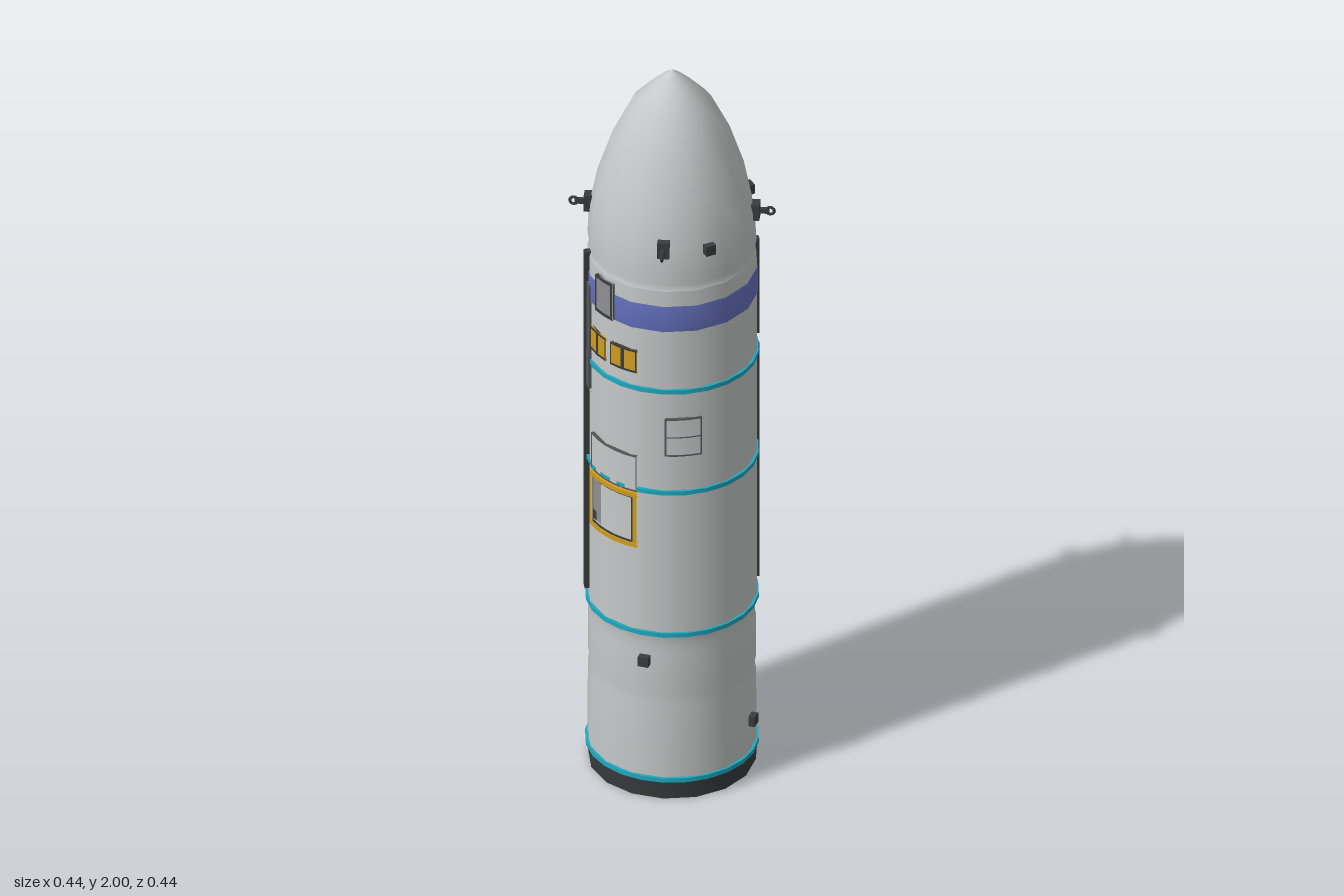
import * as THREE from 'three';
import { toCreasedNormals } from 'three/addons/utils/BufferGeometryUtils.js';

const mat = (name, color) => {
  const m = new THREE.MeshStandardMaterial({ color, side: THREE.DoubleSide });
  m.name = name;
  return m;
};
const SIDES = 16;
const rad = THREE.MathUtils.degToRad;

export function createModel() {
  const hull = mat('hull light grey', 0xc6c9c9);
  const grey = mat('mid grey', 0x8d9092);
  const dark = mat('dark panel grey', 0x55585b);
  const black = mat('charcoal', 0x393b3d);
  const blue = mat('band blue', 0x6470bd);
  const teal = mat('ring teal', 0x1fa9bf);
  const yellow = mat('frame yellow', 0xcf9c1e);

  const root = new THREE.Group();
  root.name = 'rocketStage';

  const add = (name, geo, material, parent = root) => {
    const m = new THREE.Mesh(geo, material);
    m.name = name;
    parent.add(m);
    return m;
  };
  const lathe = (pts, n = SIDES) => new THREE.LatheGeometry(pts.map(p => new THREE.Vector2(...p)), n);

  // curved plate wrapped on the hull; angles in degrees, 0 = front, 90 = +x
  const plate = (name, a0, a1, y0, y1, r, material, thick = 0.008, parent = root) => {
    const pts = [[r - thick, y0], [r, y0], [r, y1], [r - thick, y1], [r - thick, y0]].map(p => new THREE.Vector2(...p));
    const n = Math.max(1, Math.ceil((a1 - a0) / 10));
    const geo = new THREE.LatheGeometry(pts, n, rad(a0), rad(a1 - a0));
    return add(name, toCreasedNormals(geo, 0.6), material, parent);
  };
  // four plates forming a rectangular border of width t
  const frame = (name, a0, a1, y0, y1, t, r, material, thick = 0.008) => {
    const g = new THREE.Group();
    g.name = name;
    const da = THREE.MathUtils.radToDeg(t / r);
    plate(name + 'Bottom', a0, a1, y0, y0 + t, r, material, thick, g);
    plate(name + 'Top', a0, a1, y1 - t, y1, r, material, thick, g);
    plate(name + 'Side', a0, a0 + da, y0 + t, y1 - t, r, material, thick, g);
    plate(name + 'Side', a1 - da, a1, y0 + t, y1 - t, r, material, thick, g);
    root.add(g);
  };
  // box standing on the hull at an angle
  const block = (name, a, y, w, h, d, r, material) => {
    const m = add(name, new THREE.BoxGeometry(w, h, d), material);
    m.position.set(r * Math.sin(rad(a)), y, r * Math.cos(rad(a)));
    m.rotation.y = rad(a);
    return m;
  };

  // Hull sections and nose
  add('lowerHull', lathe([[0.211, 0.05], [0.211, 0.16], [0.209, 0.27], [0.206, 0.285],
    [0.209, 0.3], [0.21, 0.42], [0.206, 0.445], [0.212, 0.475]]), hull);
  add('midHull', lathe([[0.212, 0.475], [0.212, 0.89], [0.212, 1.19], [0.212, 1.36], [0.212, 1.44], [0.211, 1.48]]), hull);
  add('noseCone', lathe([[0.211, 1.48], [0.206, 1.495], [0.211, 1.515], [0.206, 1.6], [0.186, 1.7],
    [0.149, 1.81], [0.102, 1.905], [0.055, 1.955], [0.025, 1.983], [0, 2]]), hull);
  add('blueBand', lathe([[0.207, 1.36], [0.2145, 1.365], [0.2145, 1.435], [0.207, 1.44]]), blue);

  // Base skirt with hollow underside
  add('baseSkirt', toCreasedNormals(lathe([[0.195, 0], [0.209, 0], [0.213, 0.053], [0.2, 0.056]]), 0.7), black);
  add('baseRecess', lathe([[0, 0.05], [0.12, 0.042], [0.195, 0]]), dark);

  // Joint rings
  for (const y of [0.057, 0.48, 0.895, 1.19])
    add('jointRing', toCreasedNormals(lathe([[0.209, y - 0.006], [0.2165, y - 0.006],
      [0.2165, y + 0.006], [0.209, y + 0.006]], 24), 0.6), teal);

  // Large radiator panel around the back
  plate('radiatorPanel', 170, 308, 0.53, 1.145, 0.2155, dark);
  frame('radiatorEdge', 170, 308, 0.53, 1.145, 0.006, 0.2162, black);
  for (const [a, y] of [[192, 0.72], [192, 1.05], [246, 1.08], [282, 0.78]])
    plate('radiatorSlot', a, a + 1.5, y, y + 0.06, 0.2165, hull);

  // Cable ducts
  for (const [a, y0, y1] of [[152, 0.5, 1.18], [152, 1.21, 1.485], [-31, 0.51, 1.49]])
    block('cableDuct', a, (y0 + y1) / 2, 0.018, y1 - y0, 0.016, 0.212, black);
  block('ductBox', -24, 1.26, 0.024, 0.3, 0.012, 0.211, dark);
  block('ductBoxLow', -26, 1.16, 0.03, 0.1, 0.012, 0.211, dark);
  plate('ductPanel', -50, -35, 1.2, 1.36, 0.2145, grey);
  plate('ductLowerPanel', -48, -35, 1.03, 1.18, 0.2145, grey);
  plate('thinDuct', -22, -20.5, 0.84, 1.1, 0.2145, grey);

  // Access door across the blue band
  plate('upperDoor', -9.6, 8.2, 1.365, 1.47, 0.2165, grey);
  frame('upperDoorFrame', -9.6, 8.2, 1.365, 1.47, 0.007, 0.219, black);

  // Paired yellow windows
  for (const [a0, a1] of [[-18, 1.5], [5.5, 27]]) {
    plate('windowPane', a0, a1, 1.235, 1.3, 0.2155, yellow);
    frame('windowFrame', a0, a1, 1.235, 1.3, 0.005, 0.217, black);
    const mid = (a0 + a1) / 2;
    plate('windowBar', mid - 1.4, mid + 1.4, 1.235, 1.3, 0.217, black);
  }

  // Main hatch with yellow surround and plate above
  plate('hatchDoor', -16, 26, 0.735, 0.88, 0.215, hull);
  plate('hatchShadePanel', -13, -4, 0.75, 0.868, 0.216, grey);
  plate('hatchHandle', -14, -9, 0.75, 0.775, 0.217, black);
  frame('hatchFrame', -17, 27.5, 0.728, 0.885, 0.012, 0.221, yellow, 0.012);
  frame('hatchInnerEdge', -13.6, 24.2, 0.74, 0.873, 0.004, 0.218, black);
  plate('hatchUpperPlate', -17, 27, 0.89, 0.99, 0.2155, hull);
  frame('hatchUpperEdge', -17, 27, 0.888, 0.992, 0.004, 0.2165, dark);

  // Side service panel
  plate('servicePanel', 46, 71, 1.005, 1.11, 0.2155, hull);
  frame('serviceEdge', 46, 71, 1.003, 1.112, 0.004, 0.2165, dark);
  plate('serviceSplit', 46, 71, 1.056, 1.059, 0.2163, dark);

  // Tapered scuffed plates low on the back
  [[186, 203], [208, 224], [226, 243], [246, 266], [284, 300]].forEach(([a0, a1], i) => {
    const m = plate('lowerBackPlate', a0, a1, 0.075, 0.21 + (i === 4 ? 0.03 : 0), 0.2145, dark, 0.004);
    const p = m.geometry.attributes.position, mid = rad((a0 + a1) / 2);
    for (let k = 0; k < p.count; k++) {
      const x = p.getX(k), z = p.getZ(k), r = Math.hypot(x, z);
      let d = Math.atan2(x, z) - mid;
      d = Math.atan2(Math.sin(d), Math.cos(d));
      const s = p.getY(k) > 0.15 ? (i % 2 ? 1 : 0.55) : (i % 2 ? 0.6 : 1);
      p.setXYZ(k, r * Math.sin(mid + d * s), p.getY(k), r * Math.cos(mid + d * s));
    }
    m.geometry.computeVertexNormals();
  });
  frame('lowerBackOutline', 183, 270, 0.065, 0.222, 0.003, 0.2145, grey);

  // Small sensors around the hull
  for (const [a, y] of [[76.6, 1.595], [168, 1.595], [262, 1.595], [32, 0.4], [120, 0.15]])
    block('sensor', a, y, 0.027, 0.027, 0.018, 0.215, black);

  // Four thruster mounts with ringed arms
  for (const a of [45, 135, 225, 315]) {
    const g = new THREE.Group();
    g.name = 'thrusterMount';
    add('mountBlock', new THREE.BoxGeometry(0.03, 0.045, 0.022), black, g).position.z = 0.208;
    add('mountArm', new THREE.BoxGeometry(0.009, 0.014, 0.03), black, g).position.set(0, 0, 0.228);
    const ring = add('mountRing', new THREE.TorusGeometry(0.01, 0.004, 6, 12), black, g);
    ring.position.z = 0.245;
    ring.rotation.y = Math.PI / 2;
    g.position.y = 1.603;
    g.rotation.y = rad(a);
    root.add(g);
  }
  return root;
}
